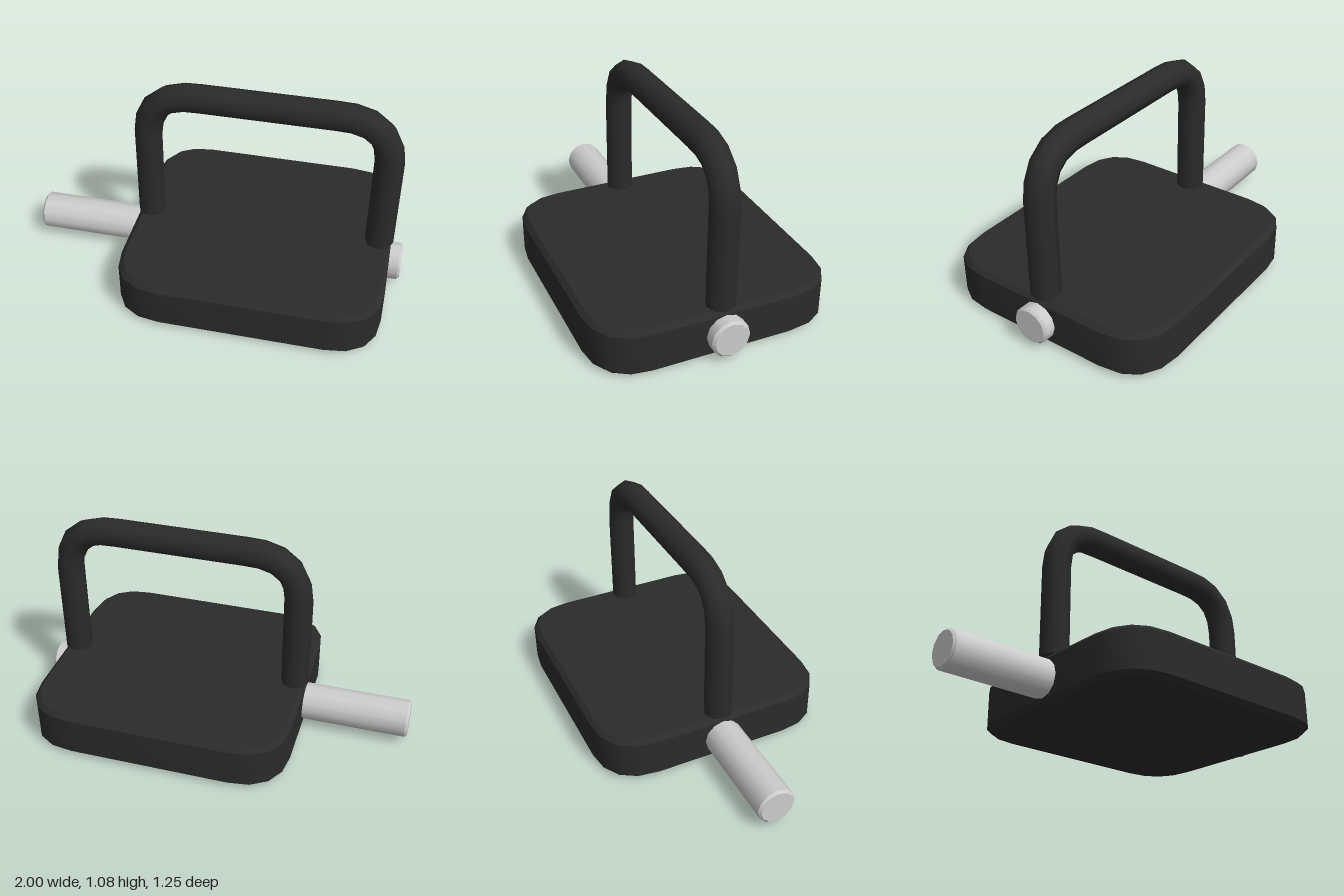
import * as THREE from 'three';
import { toCreasedNormals } from 'three/addons/utils/BufferGeometryUtils.js';

const CENTRE_X = 0.248;

export function createModel() {
  const group = new THREE.Group();
  const black = new THREE.MeshStandardMaterial({ color: 0x2b2b2b });
  black.name = 'black coating';
  const steel = new THREE.MeshStandardMaterial({ color: 0xcccccc });
  steel.name = 'light steel';

  const add = (name, geometry, material) => {
    const mesh = new THREE.Mesh(geometry, material);
    mesh.name = name;
    group.add(mesh);
    return mesh;
  };

  // Body: rounded plate with chamfered top and bottom rims
  const bevel = 0.025, w = 0.6875 - bevel, d = 0.625 - bevel, r = 0.24;
  const outline = new THREE.Shape();
  outline.moveTo(-w + r, -d);
  outline.lineTo(w - r, -d);
  outline.quadraticCurveTo(w, -d, w, -d + r);
  outline.lineTo(w, d - r);
  outline.quadraticCurveTo(w, d, w - r, d);
  outline.lineTo(-w + r, d);
  outline.quadraticCurveTo(-w, d, -w, d - r);
  outline.lineTo(-w, -d + r);
  outline.quadraticCurveTo(-w, -d, -w + r, -d);
  const plate = new THREE.ExtrudeGeometry(outline, {
    depth: 0.25 - 2 * bevel, curveSegments: 4,
    bevelThickness: bevel, bevelSize: bevel, bevelSegments: 1,
  });
  plate.rotateX(-Math.PI / 2);
  plate.translate(CENTRE_X, bevel, 0);
  add('body', toCreasedNormals(plate, 0.6), black);

  // Handle: eight-sided tube bent into an arch
  const half = 0.6225, bend = 0.25, foot = 0.25, top = 1, tube = 0.075;
  const v = (x, y) => new THREE.Vector3(CENTRE_X + x, y, 0);
  const path = new THREE.CurvePath();
  path.add(new THREE.LineCurve3(v(-half, foot), v(-half, top - bend)));
  path.add(new THREE.QuadraticBezierCurve3(v(-half, top - bend), v(-half, top), v(-half + bend, top)));
  path.add(new THREE.LineCurve3(v(-half + bend, top), v(half - bend, top)));
  path.add(new THREE.QuadraticBezierCurve3(v(half - bend, top), v(half, top), v(half, top - bend)));
  path.add(new THREE.LineCurve3(v(half, top - bend), v(half, foot)));
  add('handle', new THREE.TubeGeometry(path, 30, tube, 8), black);

  // Caps under the two handle feet
  for (const side of [-1, 1]) {
    const cap = add('handleFoot', new THREE.CircleGeometry(tube, 8), black);
    cap.rotation.x = Math.PI / 2;
    cap.position.set(CENTRE_X + side * half, foot, 0);
  }

  // Locking bar through the body, with small chamfers at both ends
  const R = 0.1, c = 0.012;
  const profile = [[0, -1], [R - c, -1], [R, -1 + c], [R, 1 - c], [R - c, 1], [0, 1]]
    .map(([x, y]) => new THREE.Vector2(x, y));
  const bar = new THREE.LatheGeometry(profile, 12);
  bar.rotateZ(-Math.PI / 2);
  bar.translate(0, 0.125, 0);
  add('lockingBar', toCreasedNormals(bar, 0.6), steel);

  return group;
}
